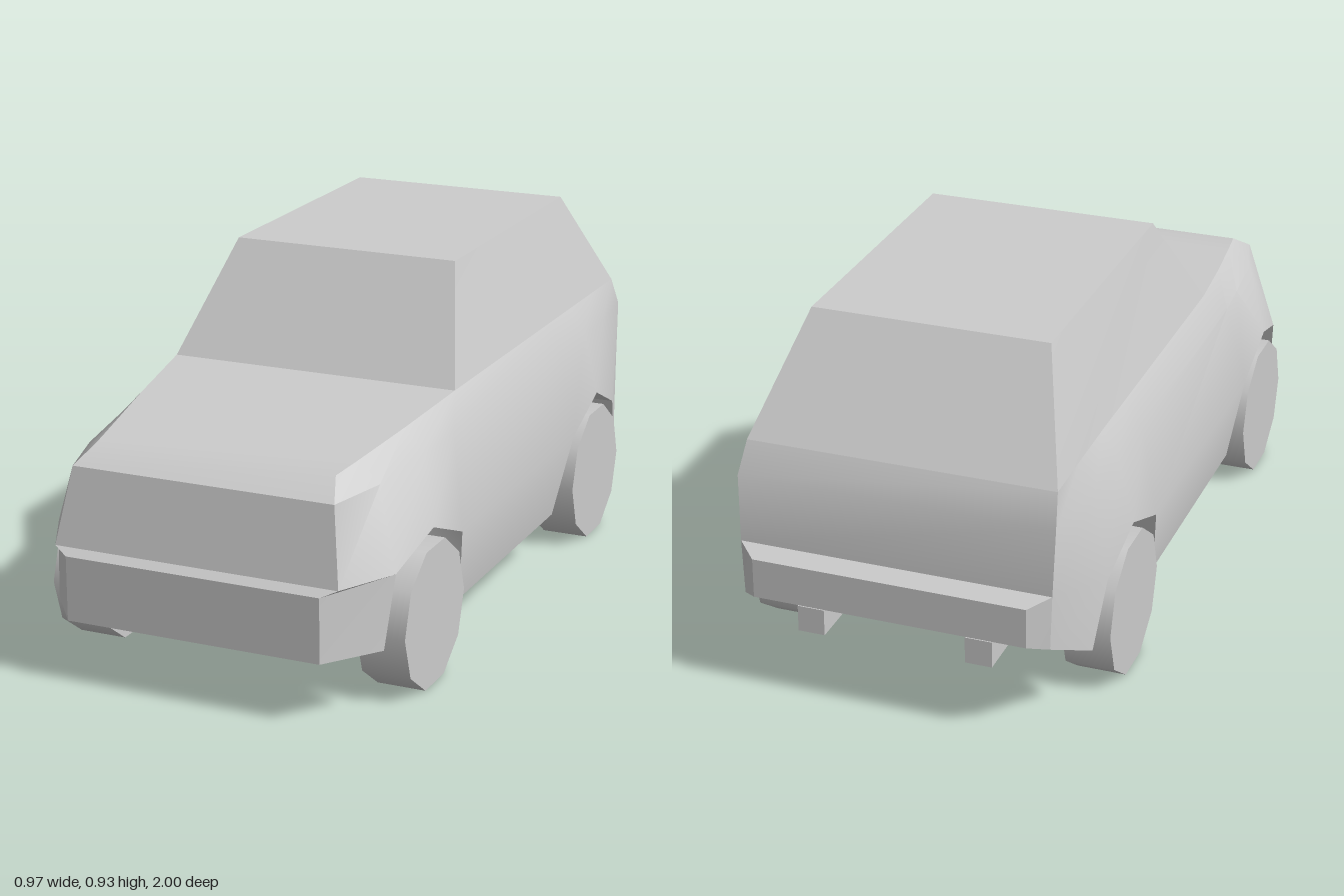
import * as THREE from 'three';
import { toCreasedNormals } from 'three/addons/utils/BufferGeometryUtils.js';

const material = new THREE.MeshStandardMaterial({ color: 0xcccccc });
const mirror = ([x, y, z]) => [-x, y, z];

// Collects polygons given on the left (+x) half and their mirror images.
class Panels {
  constructor() { this.tris = []; }
  face(...p) {
    for (let i = 1; i < p.length - 1; i++) this.tris.push(...p[0], ...p[i], ...p[i + 1]);
  }
  both(...p) {
    this.face(...p);
    this.face(...p.map(mirror).reverse());
  }
  // Panels running across the car between a left edge and its mirror
  across(edge) {
    for (let i = 0; i < edge.length - 1; i++) {
      const a = edge[i], b = edge[i + 1];
      this.face(mirror(a), a, b, mirror(b));
    }
  }
  mesh(name) {
    const g = new THREE.BufferGeometry();
    g.setAttribute('position', new THREE.Float32BufferAttribute(this.tris, 3));
    const m = new THREE.Mesh(toCreasedNormals(g, 0.6), material);
    m.name = name;
    return m;
  }
}

export function createModel() {
  const car = new THREE.Group();
  car.name = 'car';

  // Rows of the left flank, front to rear: waist, shoulder, window sill
  const waist = [[.38, .35, .98], [.46, .35, .825], [.48, .41, .64], [.48, .335, .45],
    [.48, .335, -.375], [.48, .41, -.565], [.47, .335, -.735], [.405, .395, -.955]];
  const shoulder = [[.35, .545, .935], [.395, .55, .77], [.42, .565, .55], [.435, .575, .4],
    [.44, .575, -.375], [.44, .575, -.565], [.435, .573, -.735], [.41, .57, -.945]];
  const sill = [[.32, .59, .86], [.335, .6, .76], [.365, .623, .55], [.395, .65, .3],
    [.395, .65, -.375], [.395, .65, -.565], [.397, .65, -.735], [.4, .65, -.905]];

  // Lower edge points
  const noseLow = [.34, .165, 1], noseTop = [.34, .333, 1];
  const archFront = [.445, .165, .86], archRear = [.455, .17, -.8];
  const sillFront = [.45, .13, .39], sillRear = [.45, .13, -.295];
  const tailLow = [.4, .25, -.955];
  const bumperTop = [.355, .375, -1], bumperLow = [.355, .27, -1];
  const roofFront = [.31, .93, .095], roofRear = [.31, .93, -.7];

  // Body: flanks, hood, grille and tail
  const body = new Panels();
  for (const [low, high] of [[waist, shoulder], [shoulder, sill]]) {
    for (let i = 0; i < 7; i++) body.both(low[i], low[i + 1], high[i + 1], high[i]);
  }
  body.both(sillFront, sillRear, waist[4], waist[3]);
  body.both(archRear, tailLow, waist[7], waist[6]);
  body.across([waist[0], shoulder[0], ...sill.slice(0, 4)]);
  body.across([sill[7], shoulder[7], waist[7]]);
  car.add(body.mesh('body'));

  // Front bumper with a narrow ledge on top
  const front = new Panels();
  front.both(noseLow, archFront, waist[1], noseTop);
  front.both(noseTop, waist[1], waist[0]);
  front.across([noseLow, noseTop, waist[0]]);
  car.add(front.mesh('frontBumper'));

  // Rear bumper
  const rear = new Panels();
  rear.both(tailLow, bumperLow, bumperTop, waist[7]);
  rear.across([waist[7], bumperTop, bumperLow, tailLow]);
  car.add(rear.mesh('rearBumper'));

  // Cabin: windscreen, roof, rear window and sides
  const cabin = new Panels();
  cabin.across([sill[3], roofFront, roofRear, sill[7]]);
  cabin.both(...sill.slice(3), roofRear, roofFront);
  car.add(cabin.mesh('cabin'));

  // Wheel wells: liner running inward from each arch, closed by an inner wall
  const wells = new Panels();
  const inward = ([, y, z]) => [.315, y, z];
  const inFront = [archFront, waist[1], waist[2], waist[3], [0, .13, .46]].map(inward);
  const inRear = [[0, .13, -.38], waist[4], waist[5], waist[6], archRear].map(inward);
  const arches = [
    [[archFront, waist[1], waist[2], waist[3], sillFront], inFront],
    [[sillRear, waist[4], waist[5], waist[6], archRear], inRear],
  ];
  for (const [edge, inner] of arches) {
    for (let i = 0; i < 4; i++) wells.both(inner[i], inner[i + 1], edge[i + 1], edge[i]);
    wells.both(inner[2], inner[1], inner[0], inner[4], inner[3]);
  }
  car.add(wells.mesh('wheelWells'));

  // Underbody, rear to front
  const floor = new Panels();
  floor.across([tailLow, archRear, inRear[4], inRear[0], sillRear,
    sillFront, inFront[4], inFront[0], archFront, noseLow]);
  car.add(floor.mesh('underbody'));

  // Wheels and exhaust pipes
  const wheelGeometry = new THREE.CylinderGeometry(.19, .19, .128, 10).rotateZ(Math.PI / 2);
  const exhaustGeometry = new THREE.BoxGeometry(.07, .07, .165);
  for (const [label, side] of [['left', 1], ['right', -1]]) {
    for (const [end, z] of [['Front', .632], ['Rear', -.558]]) {
      const wheel = new THREE.Mesh(wheelGeometry, material);
      wheel.name = `${label}${end}Wheel`;
      wheel.position.set(side * .419, .181, z);
      car.add(wheel);
    }
    const exhaust = new THREE.Mesh(exhaustGeometry, material);
    exhaust.name = `${label}Exhaust`;
    exhaust.position.set(side * .22, .21, -.882);
    car.add(exhaust);
  }
  return car;
}
